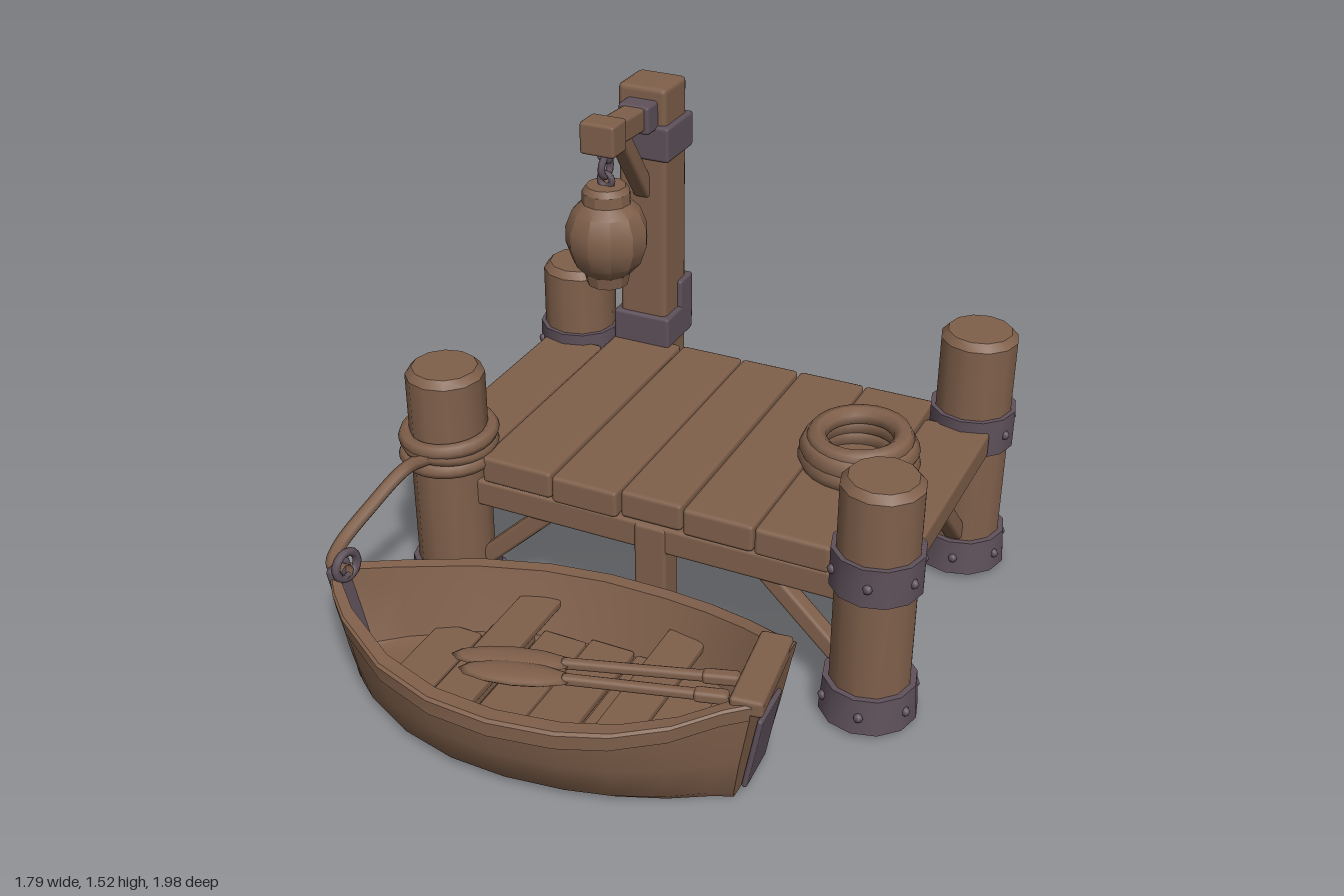
import * as THREE from 'three';
import { toCreasedNormals } from 'three/addons/utils/BufferGeometryUtils.js';
import { RoundedBoxGeometry } from 'three/addons/geometries/RoundedBoxGeometry.js';

const wood = new THREE.MeshStandardMaterial({ color: 0x80604b, side: THREE.DoubleSide });
wood.name = 'brown wood and rope';
const iron = new THREE.MeshStandardMaterial({ color: 0x5f515b });
iron.name = 'dull purple iron';

const V = (x, y, z) => new THREE.Vector3(x, y, z);

function add(parent, name, geo, mat, x = 0, y = 0, z = 0) {
  const m = new THREE.Mesh(geo, mat);
  m.name = name;
  m.position.set(x, y, z);
  parent.add(m);
  return m;
}

// Box with softened edges
const block = (w, h, d, r = 0.012) => new RoundedBoxGeometry(w, h, d, 1, r);

// Squared timber running from point a to point b
function beam(parent, name, a, b, w, h, mat = wood) {
  const m = add(parent, name, block(w, h, a.distanceTo(b)), mat);
  m.position.copy(a).add(b).multiplyScalar(0.5);
  m.lookAt(b);
  return m;
}

const turned = (pts, seg, crease) =>
  toCreasedNormals(new THREE.LatheGeometry(pts.map(p => new THREE.Vector2(...p)), seg), crease);

function ropeRing(parent, name, R, r, x, y, z, tilt = 0) {
  const m = add(parent, name, new THREE.TorusGeometry(R, r, 7, 24), wood, x, y, z);
  m.rotation.set(Math.PI / 2 + tilt, tilt, 0);
}

// Iron hoop with a few rivets round it
function hoop(parent, x, y, z, rTop, rBottom, h) {
  const geo = toCreasedNormals(new THREE.CylinderGeometry(rTop, rBottom, h, 12), 0.6);
  add(parent, 'ironBand', geo, iron, x, y, z);
  for (let i = 0; i < 6; i++) {
    const a = i * Math.PI / 3 + 0.4, r = (rTop + rBottom) / 2 - 0.003;
    add(parent, 'rivet', new THREE.SphereGeometry(0.016, 6, 4), iron,
      x + r * Math.cos(a), y, z + r * Math.sin(a));
  }
}

function buildPosts(g) {
  const posts = [[-0.735, 0.11, 0.86], [0.735, 0.13, 0.855], [-0.73, -0.79, 0.85], [0.735, -0.8, 0.89]];
  posts.forEach(([x, z, top], i) => {
    const r = 0.127;
    add(g, 'mooringPost', turned([[0, 0.04], [r, 0.04], [r, top - 0.025], [r - 0.022, top], [0, top]], 12, 0.6),
      wood, x, 0, z);
    hoop(g, x, 0.09, z, 0.146, 0.155, 0.12);
    if (i > 0) hoop(g, x, 0.553, z, 0.143, 0.143, 0.13);
    else [[0.555, 0.14, 0.02], [0.595, 0.135, -0.03], [0.625, 0.138, 0.04]].forEach(([y, R, t]) =>
      ropeRing(g, 'postRope', R, 0.026, x, y, z, t));
  });
}

function buildDeck(g) {
  // Planks, the outer two shortened to sit between the posts
  const edges = [-0.82, -0.595, -0.34, -0.105, 0.11, 0.35, 0.6, 0.83];
  for (let i = 0; i < 7; i++) {
    const outer = i === 0 || i === 6;
    const z0 = outer ? -0.7 : -0.825 + 0.006 * (i % 2), z1 = outer ? 0.04 : 0.155 + 0.008 * (i % 3 - 1);
    add(g, 'deckPlank', block(edges[i + 1] - edges[i] - 0.006, 0.095, z1 - z0, 0.014), wood,
      (edges[i] + edges[i + 1]) / 2, 0.533 + 0.003 * (i % 2), (z0 + z1) / 2);
  }
  // Frame beams, middle legs and diagonal braces
  const zs = [0.1, -0.79], y = 0.436;
  for (const z of zs) {
    beam(g, 'crossBeam', V(-0.7, y, z), V(0.7, y, z), 0.09, 0.095);
    beam(g, 'middleLeg', V(0, 0.03, z), V(0, 0.48, z), 0.11, 0.1);
    for (const s of [-1, 1])
      beam(g, 'brace', V(s * 0.62, 0.17, z), V(s * 0.36, 0.42, z), 0.06, 0.06);
  }
  for (const x of [-0.74, 0.74]) {
    beam(g, 'sideBeam', V(x, y, zs[0]), V(x, y, zs[1]), 0.09, 0.095);
    beam(g, 'brace', V(x, 0.17, 0.02), V(x, 0.42, -0.24), 0.06, 0.06);
    beam(g, 'brace', V(x, 0.17, -0.7), V(x, 0.42, -0.45), 0.06, 0.06);
  }
  beam(g, 'middleBeam', V(0, y, zs[0]), V(0, y, zs[1]), 0.09, 0.09);
}

function buildLamp(g) {
  const x = -0.48, z = -0.873;
  add(g, 'lampPost', block(0.18, 1.14, 0.175, 0.02), wood, x, 0.96, z);
  add(g, 'upperBand', block(0.215, 0.125, 0.205), iron, x, 1.34, z);
  add(g, 'lowerBand', block(0.215, 0.12, 0.205), iron, x, 0.635, z);
  add(g, 'lowerBandBack', block(0.212, 0.22, 0.1), iron, x, 0.685, z - 0.062);
  beam(g, 'lampArm', V(x, 1.43, z), V(-0.468, 1.46, -0.46), 0.085, 0.08);
  add(g, 'armEnd', block(0.125, 0.11, 0.1), wood, -0.465, 1.463, -0.482);
  add(g, 'armCuff', block(0.115, 0.1, 0.085), iron, -0.475, 1.438, -0.757);
  beam(g, 'armBrace', V(x, 1.15, -0.81), V(-0.473, 1.42, -0.605), 0.06, 0.06);
  // Chain and lantern
  const lx = -0.465, lz = -0.497;
  [[1.395, 0.02, 0], [1.352, 0.032, Math.PI / 2], [1.308, 0.022, 0]].forEach(([y, R, turn]) => {
    const link = add(g, 'chainLink', new THREE.TorusGeometry(R, 0.012, 6, 12), iron, lx, y, lz);
    link.rotation.y = turn;
  });
  add(g, 'lantern', turned([[0, 0.945], [0.07, 0.945], [0.078, 0.985], [0.115, 1.025], [0.137, 1.09], [0.137, 1.145],
    [0.113, 1.205], [0.082, 1.235], [0.08, 1.272], [0.066, 1.292], [0, 1.292]], 11, 0.5), wood, lx, 0, lz);
}

// Boat outline: x, half width, rim height
const stations = [[-0.82, 0.05, 0.385], [-0.78, 0.1, 0.37], [-0.7, 0.175, 0.35], [-0.5, 0.305, 0.325],
  [-0.3, 0.375, 0.313], [-0.1, 0.396, 0.31], [0.1, 0.38, 0.313], [0.25, 0.345, 0.325], [0.4, 0.28, 0.35],
  [0.52, 0.2, 0.385], [0.59, 0.165, 0.4]];
const keelZ = x => 0.594 - 0.065 * (x + 0.1);

function buildHull(g) {
  // Half section, from keel up the outside, over the rim, down to the floor
  const half = ([, w, t]) => {
    const inn = Math.max(w - 0.055, 0.012);
    return [[0, 0.012], [0.7 * w, 0.012], [0.79 * w, 0.04], [0.92 * w, 0.17], [0.96 * w, t - 0.055],
      [w, t - 0.055], [w, t - 0.008], [w - 0.01, t], [inn, t], [inn * 0.95, t - 0.06], [inn * 0.8, 0.11], [0, 0.1]];
  };
  const rings = stations.map(s => {
    const h = half(s);
    const loop = [...h, ...h.slice(1, -1).reverse().map(([a, b]) => [-a, b])];
    return loop.map(([a, y]) => {
      const k = 0.9 + 0.1 * Math.min(1, y / s[2]);
      const x = -0.1 + (s[0] + 0.1) * k;
      return V(x, y, keelZ(x) + a);
    });
  });
  const pos = [], n = rings[0].length;
  const tri = (...ps) => ps.forEach(p => pos.push(p.x, p.y, p.z));
  for (let i = 0; i < rings.length - 1; i++) for (let j = 0; j < n; j++) {
    const k = (j + 1) % n, A = rings[i], B = rings[i + 1];
    tri(A[j], B[j], B[k]);
    tri(A[j], B[k], A[k]);
  }
  // Flat bow and transom
  [rings[0], rings[rings.length - 1]].forEach((r, e) => {
    const out = [...r.slice(0, 8), ...r.slice(n - 7)];
    const c = out.reduce((s, p) => s.add(p), V(0, 0, 0)).divideScalar(out.length);
    out.forEach((p, j) => {
      const q = out[(j + 1) % out.length];
      if (e) tri(c, q, p); else tri(c, p, q);
    });
  });
  const geo = new THREE.BufferGeometry();
  geo.setAttribute('position', new THREE.Float32BufferAttribute(pos, 3));
  add(g, 'hull', toCreasedNormals(geo, 0.6), wood);
}

function buildBoat(g) {
  buildHull(g);
  // Floor boards and seats
  [[-0.52, 0.36], [-0.36, 0.46], [-0.2, 0.52], [-0.04, 0.53], [0.12, 0.5], [0.28, 0.42], [0.42, 0.3]].forEach(([x, w], i) =>
    add(g, 'floorBoard', block(0.15, 0.03, w, 0.008), wood, x, 0.115 + 0.006 * (i % 2), keelZ(x)));
  [[-0.3, 0.62], [0.2, 0.58]].forEach(([x, w]) =>
    add(g, 'seat', block(0.13, 0.03, w, 0.008), wood, x, 0.215, keelZ(x)));
  add(g, 'sternBoard', block(0.1, 0.055, 0.33), wood, 0.55, 0.385, keelZ(0.55)).rotation.y = 0.12;
  // Oars
  [[V(0.46, 0.29, 0.49), V(-0.38, 0.25, 0.70)], [V(0.46, 0.28, 0.57), V(-0.32, 0.26, 0.76)]].forEach(([a, b]) => {
    const mid = a.clone().lerp(b, 0.62);
    beam(g, 'oarShaft', a, mid, 0.032, 0.032);
    beam(g, 'oarGrip', a, a.clone().lerp(b, 0.13), 0.042, 0.038);
    const blade = new THREE.SphereGeometry(1, 12, 6);
    const m = add(g, 'oarBlade', blade, wood, ...mid.clone().lerp(b, 0.45).toArray());
    m.scale.set(0.055, 0.016, mid.distanceTo(b) * 0.58);
    m.lookAt(b);
  });
  // Iron stem, transom plate and mooring ring
  beam(g, 'stemPlate', V(-0.738, 0.02, 0.638), V(-0.825, 0.41, 0.642), 0.1, 0.03, iron);
  beam(g, 'transomPlate', V(0.532, 0.02, 0.55), V(0.577, 0.28, 0.548), 0.17, 0.018, iron);
  add(g, 'mooringRing', new THREE.TorusGeometry(0.045, 0.014, 7, 16), iron, -0.79, 0.41, 0.64).rotation.y = 1.4;
}

function buildRopes(g) {
  // Coil lying on the deck
  [[0.605, 0.153, 0.043], [0.645, 0.15, 0.042], [0.677, 0.138, 0.034]].forEach(([y, R, r], i) =>
    ropeRing(g, 'ropeCoil', R, r, 0.505, y, -0.33, 0.03 * (i - 1)));
  // Line from the post down to the boat
  const path = new THREE.CatmullRomCurve3([V(-0.72, 0.6, 0.25), V(-0.79, 0.56, 0.28), V(-0.85, 0.47, 0.42),
    V(-0.875, 0.405, 0.55), V(-0.85, 0.385, 0.63), V(-0.78, 0.395, 0.65)]);
  add(g, 'mooringLine', new THREE.TubeGeometry(path, 28, 0.023, 7), wood);
}

export function createModel() {
  const model = new THREE.Group();
  model.name = 'jettyWithRowingBoat';
  const parts = { posts: buildPosts, deck: buildDeck, lamp: buildLamp, boat: buildBoat, ropes: buildRopes };
  for (const [name, build] of Object.entries(parts)) {
    const g = new THREE.Group();
    g.name = name;
    build(g);
    model.add(g);
  }
  return model;
}
